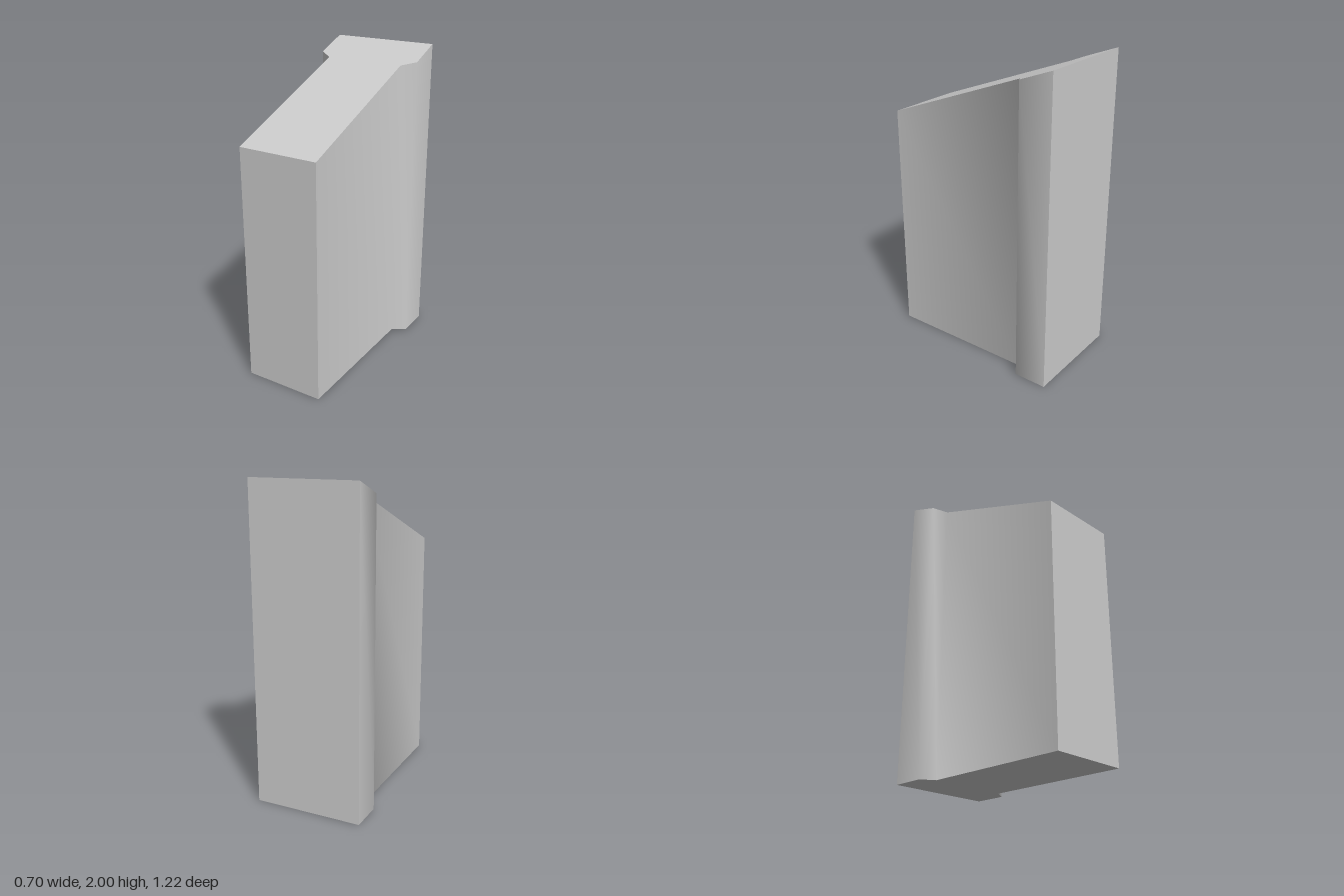
import * as THREE from 'three';
import { toCreasedNormals } from 'three/addons/utils/BufferGeometryUtils.js';

// Half outline of the T-shaped plan as [x, z], from front to back
const HALF_PLAN = [[0.262, 0.612], [0.262, -0.344], [0.348, -0.398], [0.348, -0.612]];

// Height of the sloping top at depth z
const topHeight = (z) => 1.77 - z * (0.23 / 0.612);

export function createModel() {
  const group = new THREE.Group();
  group.name = 'wedgeBlock';

  // Mirrored outline; shape y becomes -z after the rotation
  const right = HALF_PLAN.map(([x, z]) => new THREE.Vector2(x, -z));
  const left = HALF_PLAN.map(([x, z]) => new THREE.Vector2(-x, -z)).reverse();
  const plan = new THREE.Shape([...right, ...left]);

  let geometry = new THREE.ExtrudeGeometry(plan, { depth: 1, bevelEnabled: false });
  geometry.rotateX(-Math.PI / 2);

  // Slant the top, rising toward the back flange
  const pos = geometry.attributes.position;
  for (let i = 0; i < pos.count; i++) {
    pos.setY(i, pos.getY(i) > 0.5 ? topHeight(pos.getZ(i)) : 0);
  }

  // Soft shading round the shoulders, sharp edges elsewhere
  geometry = toCreasedNormals(geometry, THREE.MathUtils.degToRad(65));

  const body = new THREE.Mesh(geometry, new THREE.MeshStandardMaterial({ color: 0xcccccc }));
  body.name = 'flangedBody';
  group.add(body);
  return group;
}
